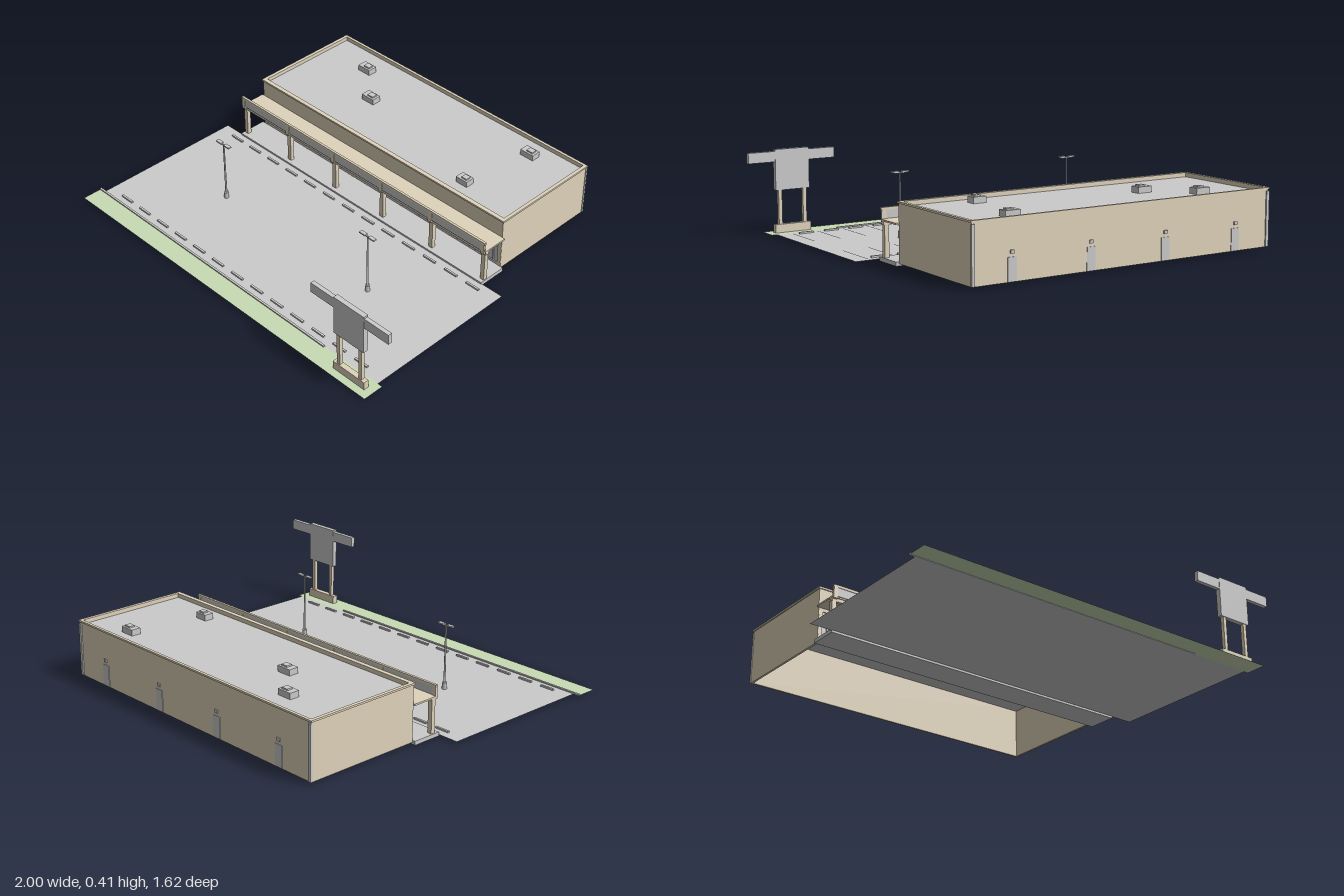
import * as THREE from 'three';

const mat = (color) => new THREE.MeshStandardMaterial({ color, side: THREE.DoubleSide });

export function createModel() {
  const model = new THREE.Group();
  const grey = mat(0xcccccc);
  const beige = mat(0xe0d4bc);
  const green = mat(0xc8dcb4);
  const white = mat(0xf0f0f0);

  // Box given by its minimum and maximum on each axis
  const box = (name, material, x0, x1, y0, y1, z0, z1, parent = model) => {
    const mesh = new THREE.Mesh(new THREE.BoxGeometry(x1 - x0, y1 - y0, z1 - z0), material);
    mesh.position.set((x0 + x1) / 2, (y0 + y1) / 2, (z0 + z1) / 2);
    mesh.name = name;
    parent.add(mesh);
    return mesh;
  };
  // Flat horizontal sheet
  const sheet = (name, material, x0, x1, z0, z1, y, parent = model) => {
    const mesh = new THREE.Mesh(new THREE.PlaneGeometry(x1 - x0, z1 - z0), material);
    mesh.rotation.x = -Math.PI / 2;
    mesh.position.set((x0 + x1) / 2, y, (z0 + z1) / 2);
    mesh.name = name;
    parent.add(mesh);
  };
  const group = (name, x = 0, y = 0, z = 0) => {
    const g = new THREE.Group();
    g.name = name;
    g.position.set(x, y, z);
    model.add(g);
    return g;
  };

  // Ground: parking lot, grass strip and curb
  sheet('parkingLot', grey, -0.97, 0.88, -0.08, 0.705, 0.01);
  sheet('grassStrip', green, -1, 0.905, 0.705, 0.81, 0.01);
  box('curb', grey, -1, 0.56, 0.008, 0.016, 0.704, 0.714);

  // Parking bays: painted lines and wheel stops between them
  const parking = group('parkingBays');
  const pitch = 0.1323;
  for (let i = 0; i < 14; i++) {
    const x = -0.91 + i * pitch;
    for (const [z0, z1] of [[-0.06, 0.17], [0.45, 0.68]]) {
      sheet('bayLine', white, x - 0.003, x + 0.003, z0, z1, 0.0115, parking);
    }
    if (i === 13) continue;
    for (const z of [-0.036, 0.668]) {
      box('wheelStop', grey, x + 0.029, x + 0.103, 0.01, 0.018, z - 0.005, z + 0.005, parking);
    }
  }

  // Store shell: open below, with a flat roof behind a parapet
  const store = group('store');
  box('backWall', beige, -0.845, 0.745, 0.01, 0.277, -0.807, -0.797, store);
  box('leftWall', beige, 0.735, 0.745, 0.01, 0.277, -0.797, -0.222, store);
  box('rightWall', beige, -0.845, -0.835, 0.01, 0.277, -0.797, -0.222, store);
  box('frontUpperWall', beige, -0.835, 0.735, 0.165, 0.277, -0.237, -0.222, store);
  sheet('roof', grey, -0.836, 0.736, -0.798, -0.236, 0.263, store);
  const coping = (x0, x1, z0, z1) => box('coping', beige, x0, x1, 0.275, 0.284, z0, z1, store);
  coping(-0.85, 0.75, -0.811, -0.797);
  coping(-0.85, 0.75, -0.239, -0.217);
  coping(-0.85, -0.833, -0.797, -0.239);
  coping(0.733, 0.75, -0.797, -0.239);

  // Rear doors, lamps and corner downspouts
  for (const x of [-0.65, -0.25, 0.15, 0.55]) {
    box('rearDoor', grey, x - 0.022, x + 0.022, 0.012, 0.115, -0.81, -0.806, store);
    box('rearLamp', grey, x - 0.009, x + 0.009, 0.13, 0.145, -0.813, -0.806, store);
  }
  for (const x of [-0.84, 0.74]) {
    box('downspout', grey, x - 0.008, x + 0.008, 0.012, 0.268, -0.813, -0.803, store);
  }

  // Rooftop units
  for (const [x, z, w, d] of [
    [-0.557, -0.67, 0.076, 0.05], [0.49, -0.702, 0.076, 0.048],
    [-0.36, -0.498, 0.076, 0.05], [0.415, -0.33, 0.066, 0.048],
  ]) {
    const unit = group('rooftopUnit', x, 0.263, z);
    box('unitBody', grey, -w / 2, w / 2, 0, 0.029, -d / 2, d / 2, unit);
    box('unitCap', grey, -w * 0.12, w * 0.34, 0.029, 0.036, -d * 0.3, d * 0.3, unit);
  }

  // Storefront: five glazed bays with piers, mullions and a door in each
  const front = group('storefront');
  const columns = [-0.843, -0.525, -0.208, 0.11, 0.427, 0.745];
  for (let i = 0; i < 5; i++) {
    const x0 = columns[i] + 0.01, x1 = columns[i + 1] - 0.01;
    const bars = 8, step = (x1 - x0) / bars;
    box('glazing', grey, x0, x1, 0.015, 0.166, -0.232, -0.228, front);
    box('baseRail', grey, x0, x1, 0.015, 0.03, -0.228, -0.223, front);
    box('transom', grey, x0, x1, 0.12, 0.126, -0.228, -0.223, front);
    for (let j = 0; j <= bars; j++) {
      const x = x0 + j * step;
      box('mullion', grey, x - 0.003, x + 0.003, 0.015, 0.166, -0.228, -0.222, front);
    }
    const xd = x0 + step * (i % 2 ? 2 : 5);
    box('doorHandle', grey, xd + 0.006, xd + 0.012, 0.05, 0.065, -0.223, -0.218, front);
  }
  for (const x of columns) {
    const c = Math.min(0.734, Math.max(-0.834, x));
    box('pier', beige, c - 0.01, c + 0.01, 0.01, 0.166, -0.236, -0.221, front);
  }

  // Walkway and canopy on columns, with a raised fascia along the front
  box('walkway', grey, -0.86, 0.76, 0, 0.019, -0.222, -0.075);
  const canopy = group('canopy');
  box('canopyRoof', beige, -0.855, 0.76, 0.181, 0.189, -0.222, -0.092, canopy);
  box('canopyBeam', beige, -0.855, 0.76, 0.165, 0.181, -0.115, -0.097, canopy);
  box('fasciaPanel', grey, -0.852, 0.757, 0.187, 0.229, -0.093, -0.087, canopy);
  box('fasciaTopRail', beige, -0.855, 0.76, 0.228, 0.24, -0.096, -0.084, canopy);
  for (const x of columns) {
    box('canopyColumn', beige, x - 0.011, x + 0.011, 0.019, 0.181, -0.117, -0.096, canopy);
    box('fasciaPost', beige, x - 0.011, x + 0.011, 0.175, 0.23, -0.096, -0.084, canopy);
  }

  // Parking lot lights
  for (const x of [-0.525, 0.43]) {
    const lamp = group('lotLight', x, 0, 0.317);
    const part = (name, r0, r1, y0, y1) => {
      const mesh = new THREE.Mesh(new THREE.CylinderGeometry(r1, r0, y1 - y0, 12), grey);
      mesh.position.y = (y0 + y1) / 2;
      mesh.name = name;
      lamp.add(mesh);
    };
    part('lightBase', 0.012, 0.012, 0.01, 0.042);
    part('lightPole', 0.005, 0.004, 0.042, 0.322);
    box('lightArm', grey, -0.03, 0.03, 0.316, 0.321, -0.003, 0.003, lamp);
    for (const s of [-1, 1]) {
      box('lightHead', grey, s * 0.027 - 0.017, s * 0.027 + 0.017, 0.32, 0.327, -0.009, 0.009, lamp);
    }
  }

  // Roadside sign: plinth, two posts, tall panel and wide crossboard
  const sign = group('roadsideSign', 0.772, 0, 0.76);
  box('signPlinth', beige, -0.093, 0.093, 0.01, 0.05, -0.013, 0.013, sign);
  for (const s of [-1, 1]) {
    box('signPost', beige, s * 0.064 - 0.009, s * 0.064 + 0.009, 0.05, 0.216, -0.009, 0.009, sign);
  }
  box('signPanel', grey, -0.088, 0.088, 0.215, 0.411, -0.012, 0.012, sign);
  box('signCrossboard', grey, -0.225, 0.225, 0.352, 0.402, -0.01, 0.01, sign);

  return model;
}
